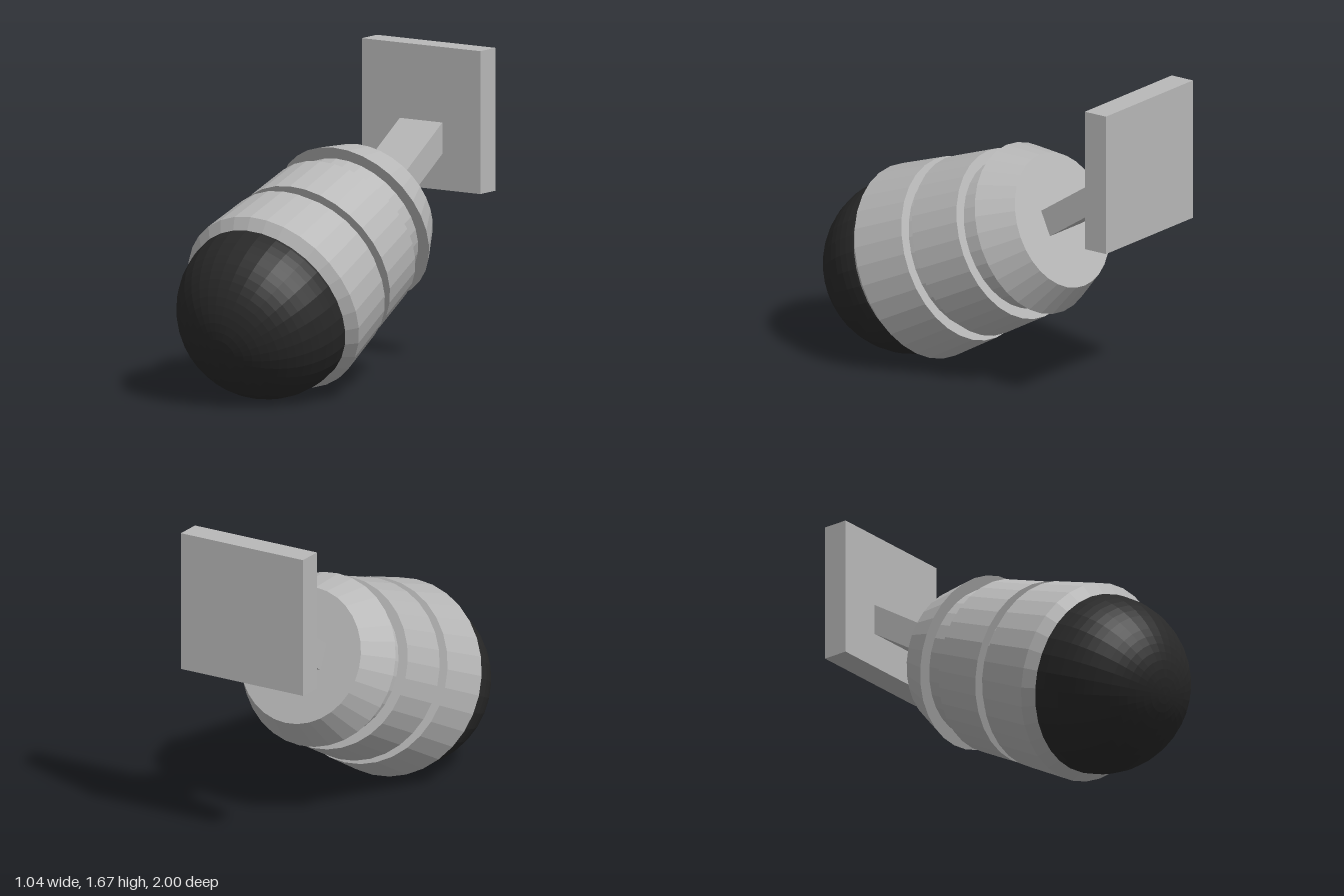
import * as THREE from 'three';

export function createModel() {
  const model = new THREE.Group();
  model.name = 'wallMountedDomeCamera';
  const grey = new THREE.MeshStandardMaterial({ color: 0xb8b8b8, flatShading: true });
  grey.name = 'grey housing';
  const black = new THREE.MeshStandardMaterial({ color: 0x292929, flatShading: true });
  black.name = 'black dome';

  const add = (parent, name, geometry, material) => {
    const mesh = new THREE.Mesh(geometry, material);
    mesh.name = name;
    parent.add(mesh);
    return mesh;
  };

  // Tilted head: local +y runs backwards and up from the dome centre
  const tilt = THREE.MathUtils.degToRad(24);
  const head = new THREE.Group();
  head.name = 'cameraHead';
  head.position.set(0, 0.475, 0.53);
  head.rotation.x = tilt - Math.PI / 2;
  model.add(head);

  // Stepped housing, turned from [radius, distance along the axis]
  const profile = [
    [0, 0.012], [0.468, 0.012], [0.52, 0.066], [0.49, 0.372],
    [0.435, 0.372], [0.43, 0.438], [0.48, 0.438], [0.455, 0.73],
    [0.4, 0.73], [0.39, 0.862], [0.457, 0.862], [0.36, 1.056], [0, 1.056],
  ].map(([r, y]) => new THREE.Vector2(r, y));
  add(head, 'housing', new THREE.LatheGeometry(profile, 32), grey);

  // Dome, reaching slightly into the housing
  add(head, 'dome', new THREE.SphereGeometry(
    0.47, 32, 16, 0, Math.PI * 2, Math.PI / 2, Math.PI / 2), black);
  add(head, 'domeRim', new THREE.CylinderGeometry(0.469, 0.47, 0.014, 32, 1, true), black)
    .position.y = 0.007;

  // Sloping arm from the back of the housing into the wall plate
  const start = new THREE.Vector3(0, 0.837, -0.3);
  const end = new THREE.Vector3(0, 1.245, -0.93);
  const arm = add(model, 'arm',
    new THREE.BoxGeometry(0.27, 0.138, start.distanceTo(end)), grey);
  arm.position.copy(start).lerp(end, 0.5);
  arm.rotation.x = Math.atan2(end.y - start.y, start.z - end.z);

  // Wall plate
  add(model, 'wallPlate', new THREE.BoxGeometry(0.75, 0.75, 0.137), grey)
    .position.set(0, 1.305, -0.9315);

  return model;
}
